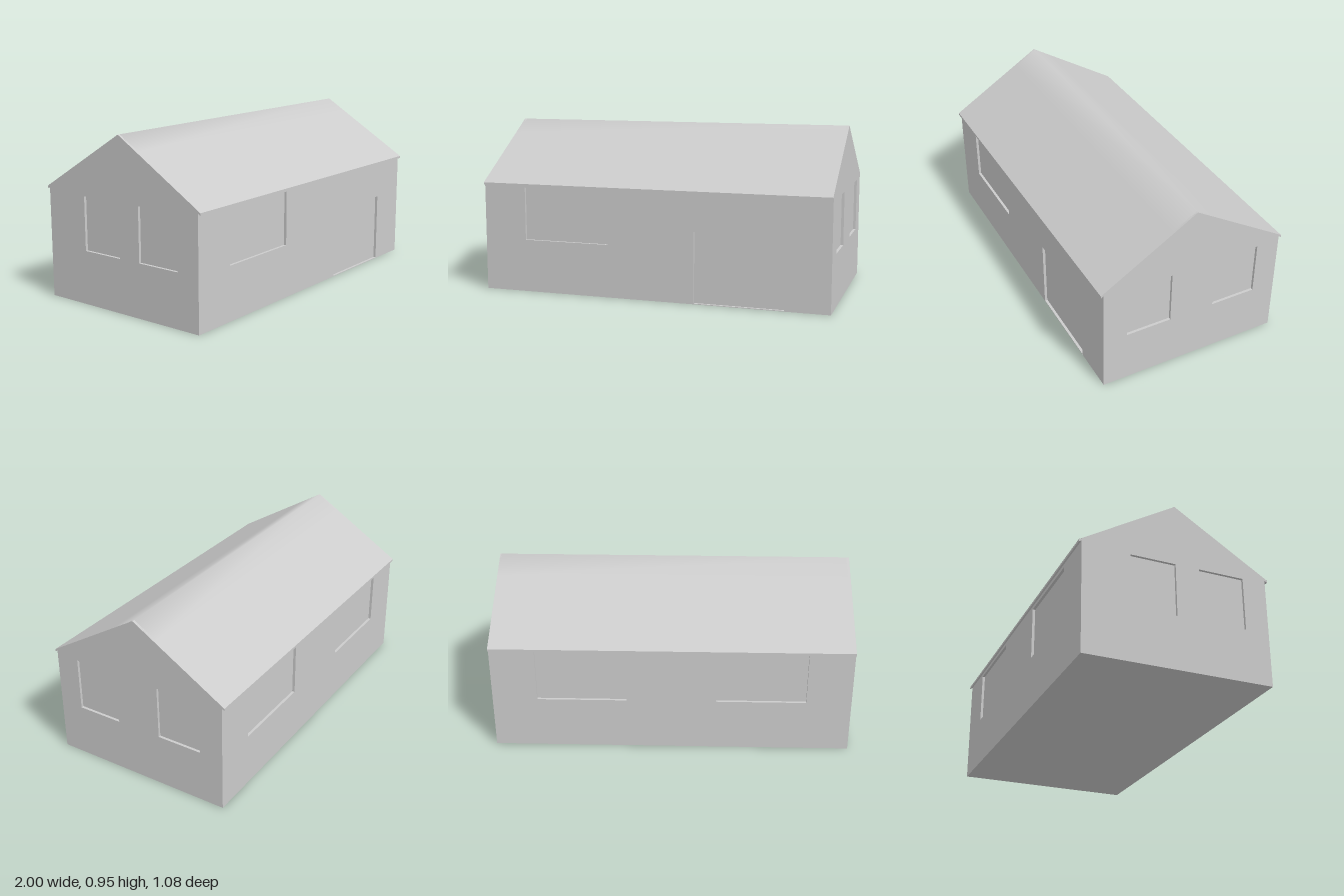
import * as THREE from 'three';

const HALF_X = 1, HALF_Z = 0.525, EAVE_Z = 0.54, RIDGE = 0.954, DEPTH = 0.015;
const roofY = (z) => RIDGE - 0.612 * Math.abs(z);

const material = new THREE.MeshStandardMaterial({ color: 0xcccccc });
const roofMaterial = new THREE.MeshStandardMaterial({ color: 0xcccccc, side: THREE.DoubleSide });

function addMesh(parent, name, geometry, mat = material) {
  const mesh = new THREE.Mesh(geometry, mat);
  mesh.name = name;
  parent.add(mesh);
  return mesh;
}

const polygon = (points) => points.map(([x, y]) => new THREE.Vector2(x, y));

// A wall facing +z with recessed openings [name, x0, x1, y0, y1]; its outer face lies at z = distance.
function makeWall(name, outline, openings, distance, angle) {
  const wall = new THREE.Group();
  wall.name = name;
  const shape = new THREE.Shape(polygon(outline));
  for (const [part, x0, x1, y0, y1] of openings) {
    shape.holes.push(new THREE.Path(polygon([[x0, y0], [x0, y1], [x1, y1], [x1, y0]])));
    const pane = addMesh(wall, part, new THREE.BoxGeometry(x1 - x0 + 0.02, y1 - y0 + 0.008, 0.01));
    pane.position.set((x0 + x1) / 2, (y0 + y1) / 2, distance - DEPTH - 0.005);
  }
  const skin = new THREE.ExtrudeGeometry(shape, { depth: DEPTH, bevelEnabled: false });
  addMesh(wall, name + 'Skin', skin).position.z = distance - DEPTH;
  wall.rotation.y = angle;
  return wall;
}

export function createModel() {
  const house = new THREE.Group();
  house.name = 'house';

  // Floor
  addMesh(house, 'floor', new THREE.BoxGeometry(2 * HALF_X, 0.004, 2 * HALF_Z)).position.y = 0.002;

  // Long walls
  const w = HALF_X - DEPTH, top = roofY(HALF_Z);
  const longOutline = [[-w, 0], [w, 0], [w, top], [-w, top]];
  const leftWindow = ['window', -0.75, -0.25, 0.3, 0.6];
  const rightWindow = ['window', 0.25, 0.75, 0.3, 0.6];
  const door = ['door', 0.25, 0.75, 0.004, 0.4];
  house.add(makeWall('frontWall', longOutline, [leftWindow, door], HALF_Z, 0));
  house.add(makeWall('backWall', longOutline, [leftWindow, rightWindow], HALF_Z, Math.PI));

  // Gable walls
  const gable = [[-HALF_Z, 0], [HALF_Z, 0], [HALF_Z, top], [0, RIDGE], [-HALF_Z, top]];
  const outerWindow = ['window', 0.13, 0.39, 0.3, 0.6];
  house.add(makeWall('leftGable', gable, [['window', -0.39, -0.13, 0.3, 0.6], outerWindow], HALF_X, Math.PI / 2));
  house.add(makeWall('rightGable', gable, [['window', -0.26, -0.005, 0.3, 0.6], outerWindow], HALF_X, -Math.PI / 2));

  // Roof surface, shaded smoothly across the ridge
  const positions = [], index = [];
  [EAVE_Z, 0.13, 0, -0.13, -EAVE_Z].forEach((z, i) => {
    positions.push(-HALF_X, roofY(z), z, HALF_X, roofY(z), z);
    const a = 2 * i;
    if (i < 4) index.push(a, a + 1, a + 3, a, a + 3, a + 2);
  });
  const roof = new THREE.BufferGeometry();
  roof.setAttribute('position', new THREE.Float32BufferAttribute(positions, 3));
  roof.setIndex(index);
  roof.computeVertexNormals();
  addMesh(house, 'roof', roof, roofMaterial);

  // Eaves along both long sides
  const eave = new THREE.Shape(polygon([
    [0.515, 0.625], [0.525, 0.619], [EAVE_Z, 0.61], [EAVE_Z, roofY(EAVE_Z) - 0.0005], [0.515, roofY(0.515) - 0.001],
  ]));
  for (const side of [1, -1]) {
    const geometry = new THREE.ExtrudeGeometry(eave, { depth: 2 * HALF_X, bevelEnabled: false });
    geometry.translate(0, 0, -HALF_X);
    addMesh(house, side > 0 ? 'frontEave' : 'backEave', geometry).rotation.y = -side * Math.PI / 2;
  }

  return house;
}
